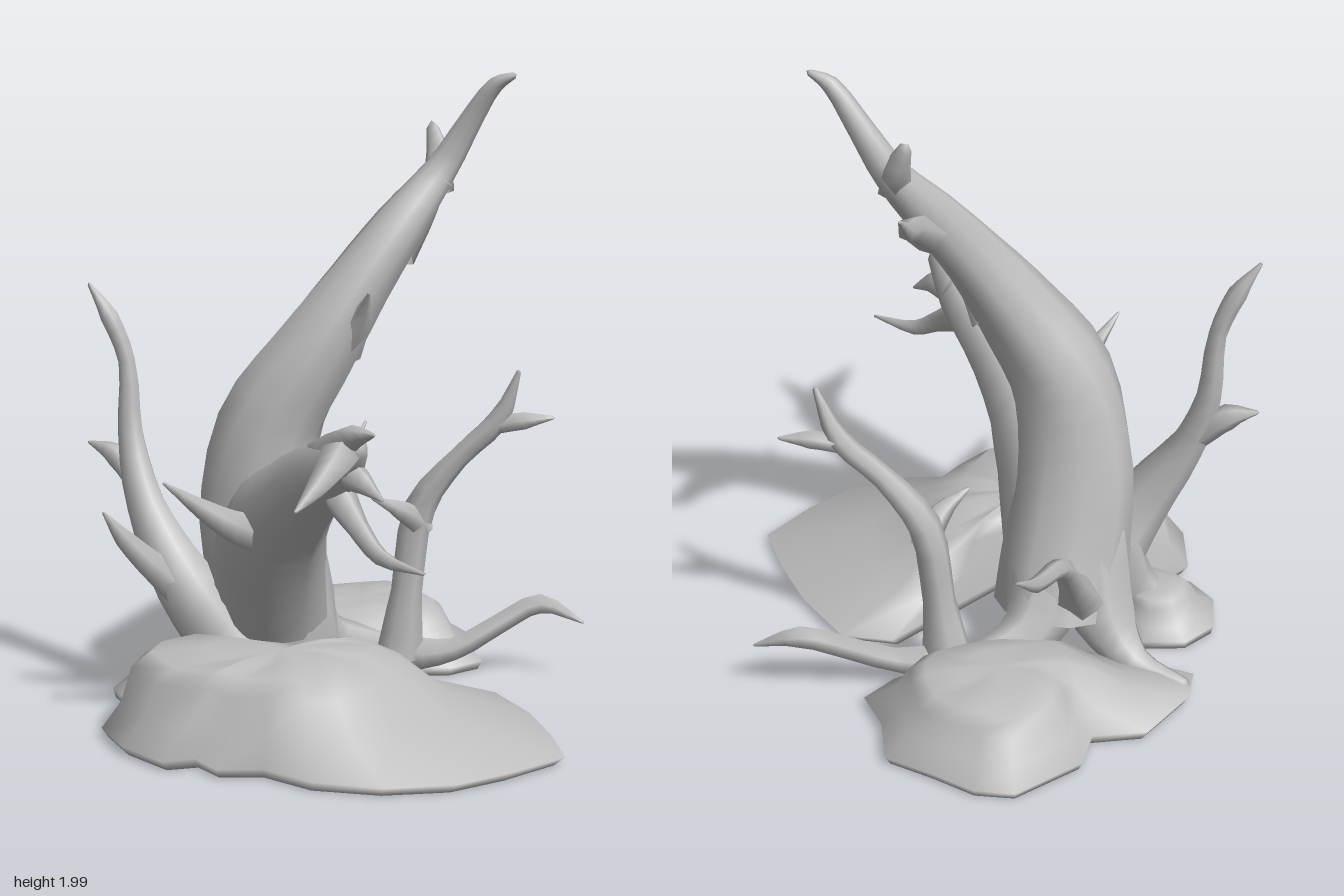
import * as THREE from 'three';

const wood = new THREE.MeshStandardMaterial({ color: 0xbebebe, side: THREE.DoubleSide });
wood.name = 'weathered grey';

// Skin a stack of closed rings (arrays of Vector3), closed by a tip point
function skin(name, rings, tip) {
  const n = rings[0].length, index = [];
  for (let i = 0; i < rings.length - 1; i++) {
    for (let j = 0; j < n; j++) {
      const k = (j + 1) % n, a = i * n + j, b = i * n + k;
      index.push(a, b, b + n, a, b + n, a + n);
    }
  }
  const last = (rings.length - 1) * n;
  for (let j = 0; j < n; j++) index.push(last + j, last + (j + 1) % n, rings.length * n);
  const geo = new THREE.BufferGeometry().setFromPoints([...rings.flat(), tip]);
  geo.setIndex(index);
  geo.computeVertexNormals();
  const mesh = new THREE.Mesh(geo, wood);
  mesh.name = name;
  return mesh;
}

// Tapered limb through points [x, y, z, radius]
function limb(name, pts, sides = 6) {
  const curve = new THREE.CatmullRomCurve3(pts.map(p => new THREE.Vector3(p[0], p[1], p[2])));
  const steps = (pts.length - 1) * 3, rings = [];
  const normal = new THREE.Vector3(0.83, 0.2, 0.52);
  for (let i = 0; i <= steps; i++) {
    const t = i / steps, f = t * (pts.length - 1), k = Math.min(Math.floor(f), pts.length - 2);
    const r = THREE.MathUtils.lerp(pts[k][3], pts[k + 1][3], f - k);
    const centre = curve.getPoint(t), tangent = curve.getTangent(t);
    normal.projectOnPlane(tangent).normalize();
    const side = new THREE.Vector3().crossVectors(tangent, normal);
    const ring = [];
    for (let j = 0; j < sides; j++) {
      const a = j / sides * Math.PI * 2;
      const rr = r * (1 + 0.06 * Math.sin(j * 2.3 + i * 0.4));
      const p = centre.clone().addScaledVector(normal, rr * Math.cos(a)).addScaledVector(side, rr * Math.sin(a));
      p.y = Math.max(p.y, 0.015);
      ring.push(p);
    }
    rings.push(ring);
  }
  const tip = curve.getPoint(1).addScaledVector(curve.getTangent(1), pts.at(-1)[3]);
  return skin(name, rings, tip);
}

// Hollow mound with an in-turned lip: outline points [x, z, shoulder fraction] around a centre
function mound(name, cx, cz, height, outline) {
  const pts = [...outline].reverse();
  const ring = (scale, y) => pts.map(([x, z, s], j) => {
    const k = scale(s);
    return new THREE.Vector3(cx + (x - cx) * k, y * (1 + 0.04 * Math.sin(j * 2.1)), cz + (z - cz) * k);
  });
  return skin(name, [
    ring(() => 0.84, 0.02),
    ring(() => 0.96, 0),
    ring(() => 1, 0.03),
    ring(s => 1 - (1 - s) * 0.55, height * 0.4),
    ring(s => 1 - (1 - s) * 0.85, height * 0.78),
    ring(s => s * 0.9, height * 0.94),
    ring(s => s * 0.5, height * 0.99),
  ], new THREE.Vector3(cx, height, cz));
}

export function createModel() {
  const group = new THREE.Group();
  group.name = 'driftwood';

  // Leaning trunk with its broken twigs
  group.add(limb('trunk', [
    [-0.29, 0.14, -0.07, 0.21], [-0.28, 0.3, -0.025, 0.205], [-0.29, 0.6, 0.045, 0.19], [-0.24, 0.9, 0.055, 0.16],
    [-0.12, 1.12, 0.005, 0.13], [0.0, 1.35, -0.09, 0.098], [0.09, 1.53, -0.195, 0.08],
    [0.17, 1.69, -0.295, 0.052], [0.25, 1.83, -0.32, 0.037], [0.34, 1.95, -0.32, 0.025], [0.4, 1.98, -0.325, 0.01]], 10));
  [
    [[0.08, 1.44, -0.17, 0.065], [0.08, 1.56, -0.36, 0.04], [0.06, 1.6, -0.45, 0.03], [0.04, 1.68, -0.55, 0.006]],
    [[0.17, 1.63, -0.27, 0.05], [0.14, 1.72, -0.33, 0.042], [0.1, 1.81, -0.36, 0.02]],
    [[-0.05, 1.14, -0.05, 0.07], [0.05, 1.25, -0.01, 0.035], [0.11, 1.34, 0.04, 0.005]],
  ].forEach(p => group.add(limb('trunkTwig', p, 5)));

  // Thick branch reaching forward, with finger-like ends
  group.add(limb('frontBranch', [
    [-0.24, 0.32, 0.04, 0.17], [-0.13, 0.6, 0.2, 0.172], [0.05, 0.77, 0.335, 0.125],
    [0.23, 0.9, 0.45, 0.095], [0.35, 0.99, 0.53, 0.045]], 9));
  [
    [[0.22, 0.92, 0.41, 0.07], [0.34, 0.965, 0.6, 0.055], [0.365, 0.92, 0.74, 0.032], [0.38, 0.88, 0.88, 0.005]],
    [[0.19, 0.86, 0.41, 0.065], [0.34, 0.75, 0.49, 0.035], [0.44, 0.685, 0.53, 0.025], [0.61, 0.67, 0.58, 0.005]],
    [[0.22, 0.93, 0.45, 0.07], [0.35, 1.02, 0.55, 0.04], [0.47, 1.055, 0.62, 0.006]],
    [[0.24, 0.9, 0.44, 0.06], [0.35, 0.89, 0.5, 0.04], [0.44, 0.845, 0.52, 0.005]],
    [[-0.09, 0.58, 0.19, 0.06], [-0.13, 0.66, 0.4, 0.055], [-0.18, 0.73, 0.5, 0.035], [-0.24, 0.83, 0.62, 0.005]],
  ].forEach(p => group.add(limb('frontTwig', p, 5)));

  // Slender branch on the model's right
  group.add(limb('sideBranch', [
    [-0.35, 0.2, 0.12, 0.13], [-0.46, 0.4, 0.2, 0.1], [-0.6, 0.64, 0.21, 0.06],
    [-0.67, 0.85, 0.19, 0.04], [-0.69, 1.08, 0.18, 0.027], [-0.74, 1.22, 0.2, 0.03], [-0.8, 1.32, 0.22, 0.006]], 7));
  [
    [[-0.62, 0.68, 0.2, 0.045], [-0.73, 0.78, 0.2, 0.04], [-0.82, 0.81, 0.21, 0.006]],
    [[-0.43, 0.3, 0.15, 0.07], [-0.51, 0.46, 0.3, 0.05], [-0.56, 0.56, 0.38, 0.035], [-0.59, 0.66, 0.45, 0.005]],
  ].forEach(p => group.add(limb('sideTwig', p, 5)));

  // Shoots rising behind the trunk
  group.add(limb('backShoot', [
    [-0.03, 0.08, -0.39, 0.08], [0.0, 0.3, -0.39, 0.052], [0.04, 0.58, -0.41, 0.052],
    [0.16, 0.75, -0.44, 0.035], [0.28, 0.88, -0.48, 0.035], [0.35, 1.04, -0.48, 0.008]], 7));
  [
    [[0.04, 0.51, -0.42, 0.045], [0.02, 0.58, -0.32, 0.035], [-0.04, 0.63, -0.24, 0.006]],
    [[0.26, 0.86, -0.475, 0.03], [0.36, 0.88, -0.51, 0.03], [0.44, 0.89, -0.55, 0.006]],
    [[-0.38, 0.22, -0.14, 0.08], [-0.4, 0.41, -0.31, 0.042], [-0.41, 0.56, -0.44, 0.032],
      [-0.4, 0.63, -0.64, 0.024], [-0.4, 0.74, -0.8, 0.005]],
    [[0.0, 0.08, -0.41, 0.06], [0.13, 0.1, -0.47, 0.04], [0.25, 0.18, -0.56, 0.036],
      [0.36, 0.245, -0.64, 0.034], [0.5, 0.195, -0.67, 0.005]],
  ].forEach(p => group.add(limb('backTwig', p, 5)));

  // Roots flaring from the foot of the trunk
  [
    [[-0.36, 0.4, -0.02, 0.12], [-0.45, 0.15, -0.1, 0.1], [-0.57, 0.05, -0.16, 0.05], [-0.74, 0.03, -0.19, 0.02]],
    [[-0.28, 0.32, -0.08, 0.14], [-0.24, 0.14, -0.25, 0.09], [-0.1, 0.09, -0.41, 0.05]],
    [[-0.39, 0.3, 0.1, 0.11], [-0.47, 0.12, 0.14, 0.08], [-0.66, 0.03, 0.17, 0.025]],
  ].forEach(p => group.add(limb('root', p, 7)));

  // Hollow mounds around the base
  group.add(mound('frontMound', -0.03, 0.31, 0.28, [
    [-0.5, 0.29, 0.78], [-0.25, 0.2, 0.75], [0, 0.1, 0.75], [0.1, -0.1, 0.58], [0.2, -0.3, 0.5],
    [0.36, -0.33, 0.45], [0.55, -0.2, 0.39], [0.7, -0.05, 0.32], [0.82, 0.1, 0.28], [0.75, 0.3, 0.31],
    [0.66, 0.47, 0.36], [0.5, 0.6, 0.48], [0.3, 0.67, 0.66], [0.12, 0.65, 0.76], [0, 0.72, 0.69],
    [-0.1, 0.68, 0.75], [-0.17, 0.75, 0.67], [-0.35, 0.7, 0.75], [-0.5, 0.6, 0.8], [-0.57, 0.42, 0.8]]));
  group.add(mound('backMound', -0.25, -0.52, 0.21, [
    [-0.45, -0.12, 0.55], [-0.75, -0.13, 0.35], [-0.77, -0.24, 0.4], [-0.7, -0.45, 0.45], [-0.55, -0.53, 0.65],
    [-0.56, -0.66, 0.7], [-0.42, -0.86, 0.72], [-0.3, -0.89, 0.68], [-0.15, -0.86, 0.72], [0, -0.84, 0.64],
    [0.07, -0.7, 0.7], [0.17, -0.6, 0.6], [0.12, -0.48, 0.65], [-0.03, -0.4, 0.7], [-0.14, -0.24, 0.55]]));
  group.add(mound('sideMound', -0.55, 0.14, 0.14, [
    [-0.7, 0.27, 0.5], [-0.74, 0.13, 0.45], [-0.68, 0.02, 0.5], [-0.55, -0.03, 0.6],
    [-0.43, 0.05, 0.7], [-0.38, 0.2, 0.7], [-0.45, 0.31, 0.6], [-0.6, 0.34, 0.5]]));

  return group;
}
